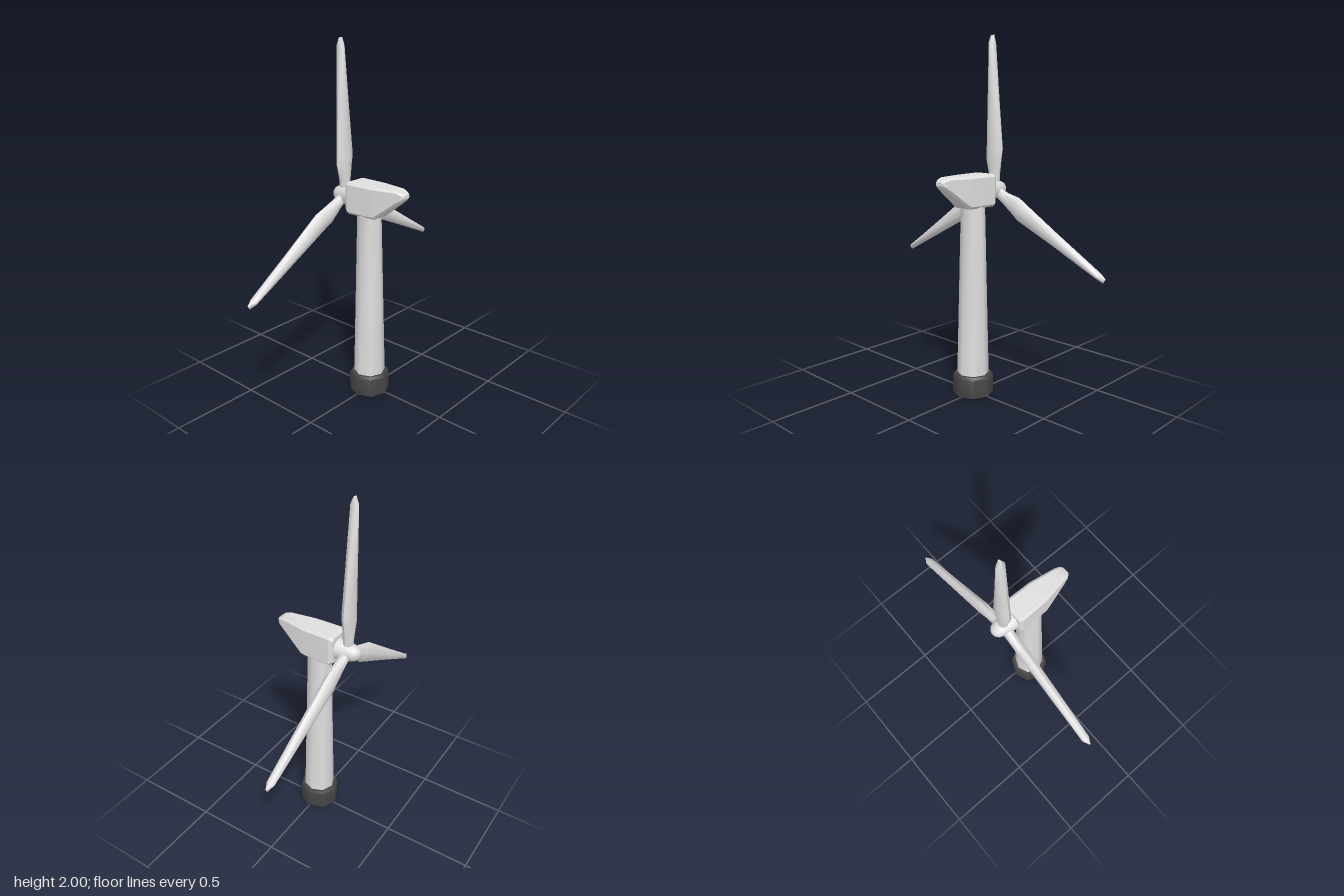
import * as THREE from 'three';
import { mergeVertices, toCreasedNormals } from 'three/addons/utils/BufferGeometryUtils.js';

const AXIS_X = -0.013, HUB_Y = 1.155, ROTOR_Z = -0.178;

// Skin over closed loops stacked along +z (each counter-clockwise seen from +z), capped at both ends
function loft(loops) {
  const n = loops[0].length;
  const index = [];
  for (let s = 0; s < loops.length - 1; s++) {
    for (let i = 0; i < n; i++) {
      const j = (i + 1) % n;
      const a = s * n + i, b = s * n + j, c = b + n, d = a + n;
      index.push(a, b, c, a, c, d);
    }
  }
  const last = (loops.length - 1) * n;
  for (let i = 1; i < n - 1; i++) {
    index.push(0, i + 1, i, last, last + i, last + i + 1);
  }
  const geometry = new THREE.BufferGeometry();
  geometry.setAttribute('position', new THREE.Float32BufferAttribute(loops.flat(2), 3));
  geometry.setIndex(index);
  return geometry;
}

function smooth(geometry, degrees) {
  geometry.deleteAttribute('uv');
  geometry.deleteAttribute('normal');
  return toCreasedNormals(mergeVertices(geometry), THREE.MathUtils.degToRad(degrees));
}

// Box section with cut corners
function housingLoop([z, w, bottom, top, cut]) {
  return [
    [w, bottom + cut, z], [w, top - cut, z], [w - cut, top, z], [-w + cut, top, z],
    [-w, top - cut, z], [-w, bottom + cut, z], [-w + cut, bottom, z], [w - cut, bottom, z],
  ];
}

// Oval section of a blade
function bladeLoop([r, left, right, depth]) {
  const mid = (left + right) / 2, half = (right - left) / 2;
  return Array.from({ length: 8 }, (_, i) => {
    const a = (i / 8) * Math.PI * 2;
    return [mid + half * Math.cos(a), depth * Math.sin(a), r];
  });
}

export function createModel() {
  const model = new THREE.Group();
  model.name = 'windTurbine';
  const white = new THREE.MeshStandardMaterial({ color: 0xdedede });
  white.name = 'paleGrey';
  const dark = new THREE.MeshStandardMaterial({ color: 0x444444 });
  dark.name = 'darkGrey';

  const add = (name, geometry, material, parent = model) => {
    const mesh = new THREE.Mesh(geometry, material);
    mesh.name = name;
    parent.add(mesh);
    return mesh;
  };

  // Octagonal foundation with a bevelled rim
  const baseProfile = [[0, 0], [0.114, 0], [0.114, 0.105], [0.104, 0.12], [0, 0.12]]
    .map(([x, y]) => new THREE.Vector2(x, y));
  const base = add('base', smooth(new THREE.LatheGeometry(baseProfile, 8), 46), dark);
  base.position.x = AXIS_X;

  // Tapered tower
  const tower = add('tower', smooth(new THREE.CylinderGeometry(0.066, 0.09, 1.0, 8), 50), white);
  tower.position.set(AXIS_X, 0.6, 0);

  // Housing: boxy at the rotor end, narrowing and rising to the front
  const housing = add('housing', smooth(loft([
    [-0.12, 0.06, 1.085, 1.235, 0.012],
    [-0.1, 0.073, 1.07, 1.25, 0.014],
    [0.06, 0.069, 1.07, 1.25, 0.014],
    [0.08, 0.066, 1.071, 1.25, 0.014],
    [0.21, 0.043, 1.17, 1.25, 0.012],
    [0.24, 0.036, 1.193, 1.24, 0.01],
    [0.255, 0.023, 1.208, 1.228, 0.006],
  ].map(housingLoop)), 25), white);
  housing.position.x = AXIS_X;

  // Rotor: hub with rounded nose pointing backwards
  const rotor = new THREE.Group();
  rotor.name = 'rotor';
  rotor.position.set(AXIS_X, HUB_Y, ROTOR_Z);
  model.add(rotor);
  const hubProfile = [[0, -0.08], [0.062, -0.08], [0.06, -0.04], [0.052, 0], [0.047, 0.03],
    [0.038, 0.055], [0.022, 0.071], [0, 0.077]].map(([x, y]) => new THREE.Vector2(x, y));
  const hub = add('hub', smooth(new THREE.LatheGeometry(hubProfile, 10), 50), white, rotor);
  hub.rotation.x = -Math.PI / 2;

  // Three blades: round root, broad shoulder, slim wedge tip
  const bladeGeometry = smooth(loft([
    [0.02, -0.028, 0.028, 0.028],
    [0.09, -0.036, 0.032, 0.03],
    [0.175, -0.061, 0.048, 0.031],
    [0.225, -0.059, 0.057, 0.031],
    [0.5, -0.049, 0.026, 0.028],
    [0.805, -0.039, -0.005, 0.024],
    [0.845, -0.036, -0.008, 0.004],
  ].map(bladeLoop)).rotateX(-Math.PI / 2), 50);
  for (let i = 0; i < 3; i++) {
    const blade = add('blade' + (i + 1), bladeGeometry, white, rotor);
    blade.rotation.z = (i * Math.PI * 2) / 3;
  }

  return model;
}
